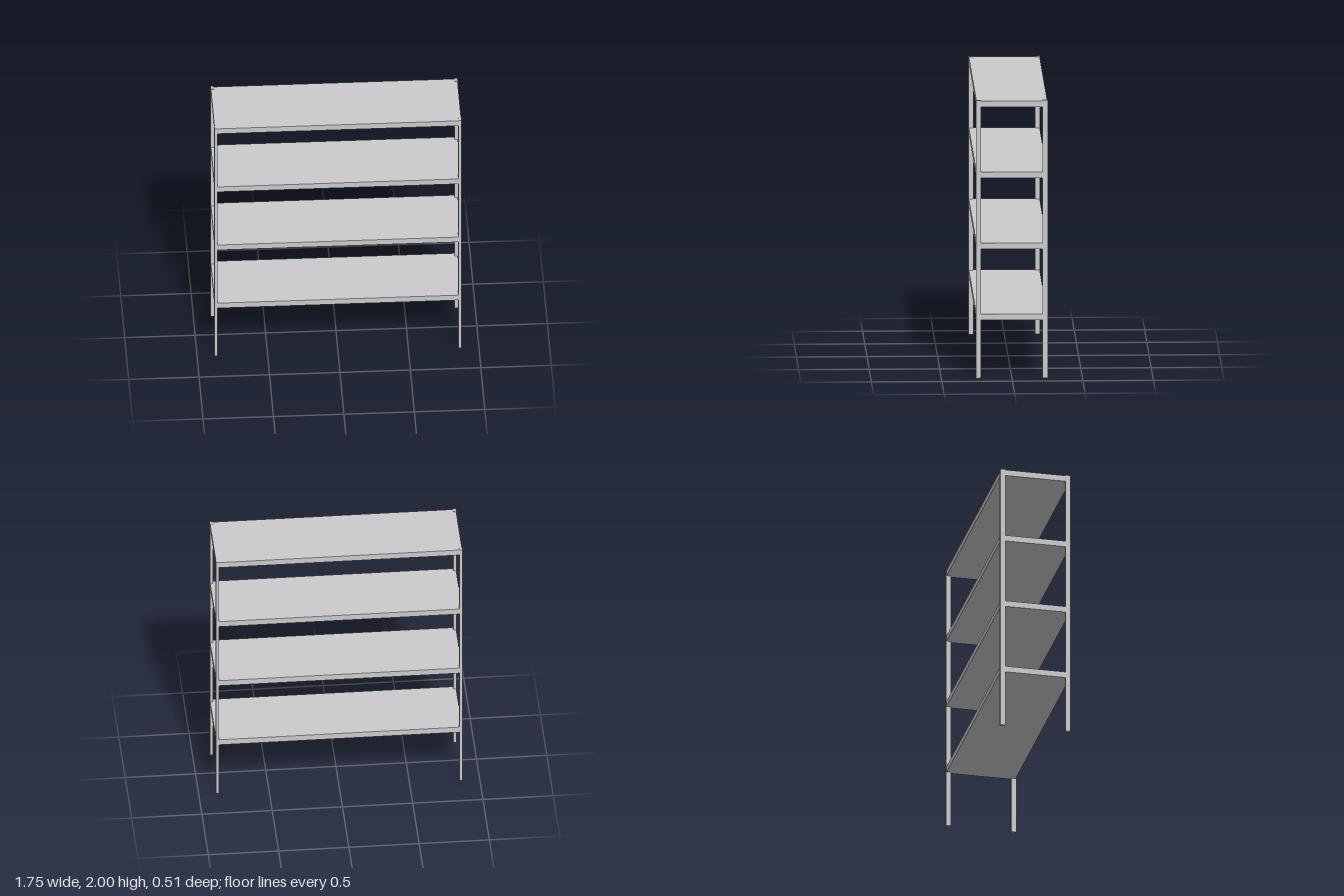
import * as THREE from 'three';

const material = new THREE.MeshStandardMaterial({ color: 0xcccccc, flatShading: true });

function addBox(parent, name, size, position) {
  const mesh = new THREE.Mesh(new THREE.BoxGeometry(...size), material);
  mesh.name = name;
  mesh.position.set(...position);
  parent.add(mesh);
}

export function createModel() {
  const model = new THREE.Group();
  model.name = 'shelvingUnit';

  const halfWidth = 0.877, halfDepth = 0.255, height = 2;
  const postWidth = 0.022, postDepth = 0.036;

  // Four corner posts
  for (const [side, sx] of [['Left', 1], ['Right', -1]]) {
    for (const [end, sz] of [['front', 1], ['back', -1]]) {
      addBox(model, `${end}${side}Post`, [postWidth, height, postDepth],
        [sx * (halfWidth - postWidth / 2), height / 2, sz * (halfDepth - postDepth / 2)]);
    }
  }

  // Four evenly spaced shelves, set slightly inside the posts
  const thickness = 0.044, topShelf = 1.996, spacing = 0.5115;
  for (let i = 0; i < 4; i++) {
    const top = topShelf - (3 - i) * spacing;
    addBox(model, `shelf${i + 1}`, [2 * halfWidth - 0.004, thickness, 2 * halfDepth - 0.008],
      [0, top - thickness / 2, 0]);
  }
  return model;
}
